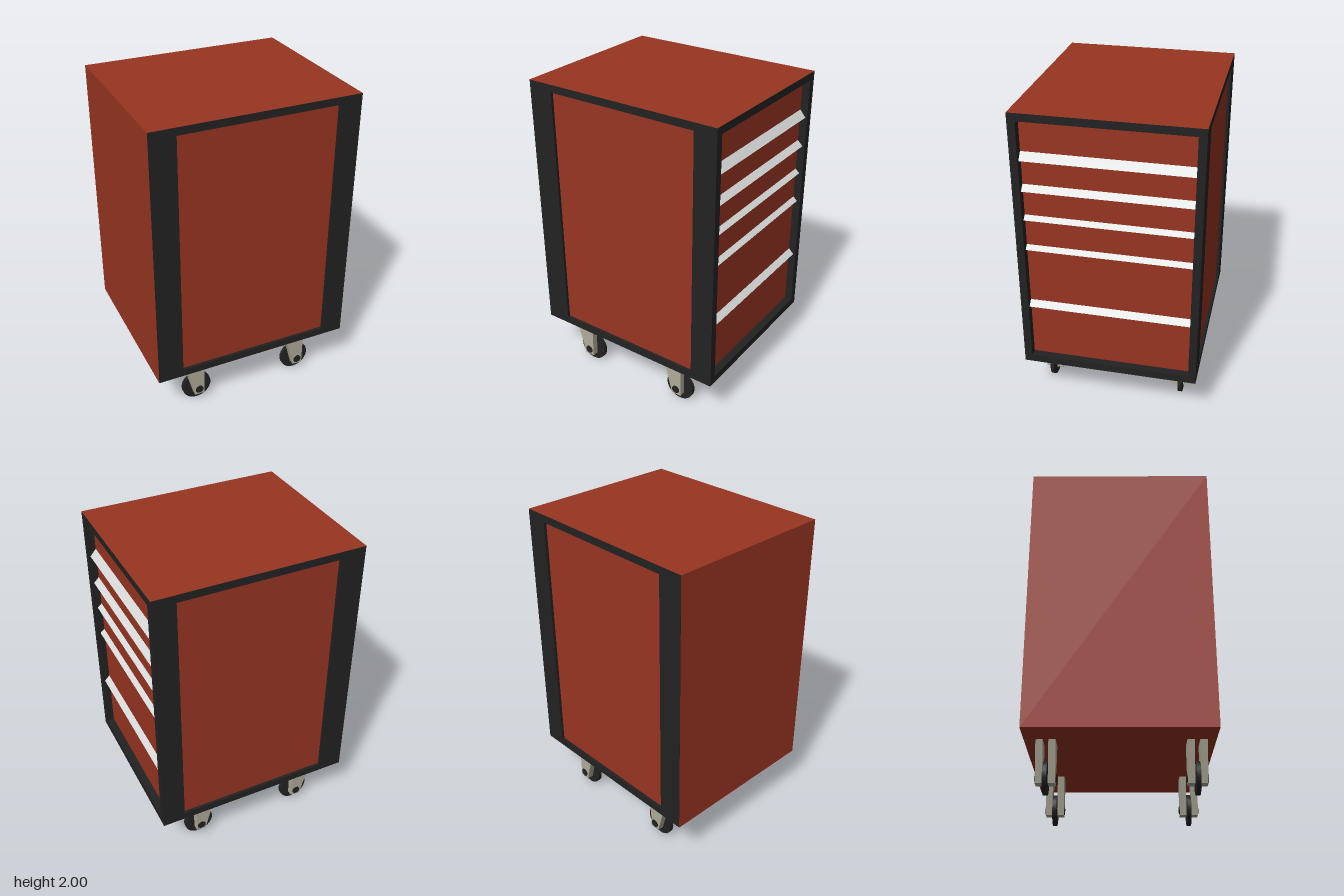
import * as THREE from 'three';

const W = 0.655, D = 0.552, Y0 = 0.3, Y1 = 2;   // cabinet half width, half depth, bottom, top
const SKIN = 0.001;                             // frames stop just under the red skins

const mat = (name, color, side = THREE.FrontSide) => {
  const m = new THREE.MeshStandardMaterial({ color, side });
  m.name = name;
  return m;
};

function add(parent, name, geometry, material, x = 0, y = 0, z = 0) {
  const mesh = new THREE.Mesh(geometry, material);
  mesh.name = name;
  mesh.position.set(x, y, z);
  parent.add(mesh);
  return mesh;
}

// Box given by its minimum and maximum corners
function addBox(parent, name, material, a, b) {
  const size = b.map((v, i) => v - a[i]);
  const mid = b.map((v, i) => (v + a[i]) / 2);
  return add(parent, name, new THREE.BoxGeometry(...size), material, ...mid);
}

function rectangle(Type, x0, y0, x1, y1) {
  return new Type([[x0, y0], [x1, y0], [x1, y1], [x0, y1]].map(p => new THREE.Vector2(...p)));
}

// Flat rectangular frame with a rectangular opening, extruded towards +z
function frameGeometry(outer, opening, depth) {
  const shape = rectangle(THREE.Shape, ...outer);
  shape.holes.push(rectangle(THREE.Path, ...opening));
  return new THREE.ExtrudeGeometry(shape, { depth, bevelEnabled: false });
}

function createCaster(metal, black) {
  const caster = new THREE.Group();
  caster.name = 'caster';
  const R = 0.098;

  // Wheel and axle
  const wheel = add(caster, 'wheel', new THREE.CylinderGeometry(R, R, 0.026, 28), black, 0, R, 0);
  wheel.rotation.x = Math.PI / 2;
  const axle = add(caster, 'axle', new THREE.CylinderGeometry(0.028, 0.028, 0.124, 10), black, 0, R, 0);
  axle.rotation.x = Math.PI / 2;

  // Two tapered fork plates
  const plate = new THREE.Shape([[-0.094, Y0], [-0.031, 0.06], [0.035, 0.06], [0.037, Y0]]
    .map(p => new THREE.Vector2(...p)));
  const plateGeometry = new THREE.ExtrudeGeometry(plate, { depth: 0.042, bevelEnabled: false });
  for (const z of [0.016, -0.058]) add(caster, 'forkPlate', plateGeometry, metal, 0, 0, z);
  return caster;
}

export function createModel() {
  const red = mat('red paint', 0x993522);
  const black = mat('black frame', 0x222222);
  const silver = mat('silver handle', 0xd8dbd9, THREE.DoubleSide);
  const metal = mat('caster metal', 0xb0ad9b);

  const model = new THREE.Group();
  model.name = 'toolCabinet';

  // Inner body, whose sides form the recessed panels
  const panelRecess = 0.018, drawerRecess = 0.05;
  const faceX = W - drawerRecess;
  const backX = -W + SKIN;
  addBox(model, 'body', red, [backX, Y0 + SKIN, -D + panelRecess],
    [faceX - 0.02, Y1 - SKIN, D - panelRecess]);

  // Black front and back frames around the panels
  const y0 = Y0 + SKIN, y1 = Y1 - SKIN;
  const panelFrame = frameGeometry([backX, y0, W, y1], [-0.492, 0.35, 0.51, 1.952], panelRecess);
  add(model, 'frontFrame', panelFrame, black, 0, 0, D - panelRecess);
  add(model, 'backFrame', panelFrame, black, 0, 0, -D);

  // Black frame around the drawers, fitted between the front and back frames
  const zEdge = D - panelRecess, zOpen = 0.504;
  const drawerFrame = frameGeometry([-zEdge, y0, zEdge, y1], [-zOpen, 0.35, zOpen, 1.952],
    drawerRecess + 0.02);
  const frame = add(model, 'drawerFrame', drawerFrame, black, faceX - 0.02, 0, 0);
  frame.rotation.y = Math.PI / 2;

  // Red skins on the top, bottom and plain side
  const slab = new THREE.PlaneGeometry(2 * W, 2 * D);
  add(model, 'topSkin', slab, red, 0, Y1, 0).rotation.x = -Math.PI / 2;
  add(model, 'bottomSkin', slab, red, 0, Y0, 0).rotation.x = Math.PI / 2;
  add(model, 'sideSkin', new THREE.PlaneGeometry(2 * D, Y1 - Y0), red, -W, (Y0 + Y1) / 2, 0)
    .rotation.y = -Math.PI / 2;

  // Drawers, each topped by a sloping handle strip: [top, handle height, handle reach]
  const handles = [
    [0.75, 0.035, 0.034], [1.148, 0.026, 0.028], [1.35, 0.026, 0.028],
    [1.55, 0.035, 0.034], [1.755, 0.046, 0.038],
  ];
  let bottom = 0.35;
  for (const [top, height, reach] of [...handles, [1.952, 0, 0]]) {
    addBox(model, 'drawer', red, [faceX - 0.02, bottom, -zOpen], [faceX, top, zOpen]);
    bottom = top;
    if (!height) continue;
    const strip = new THREE.PlaneGeometry(2 * zOpen, Math.hypot(height, reach));
    strip.rotateX(-Math.atan2(reach, height));
    strip.rotateY(Math.PI / 2);
    add(model, 'drawerHandle', strip, silver, faceX + reach / 2, top - height / 2, 0);
  }

  // Four casters, all trailing the same way
  for (const x of [-0.363, 0.363]) {
    for (const z of [0.442, -0.426]) {
      const caster = createCaster(metal, black);
      caster.position.set(x, 0, z);
      model.add(caster);
    }
  }
  return model;
}
